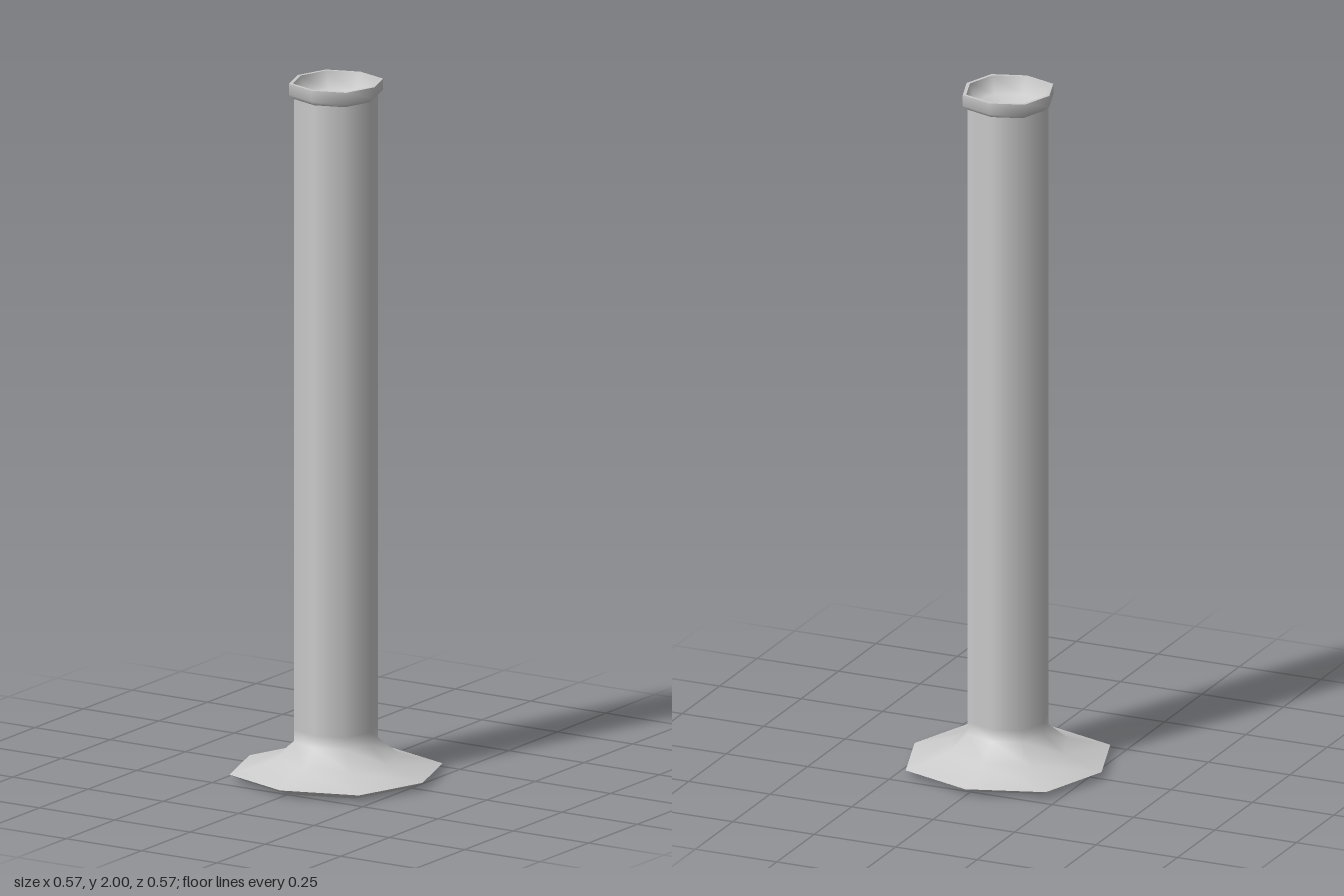
import * as THREE from 'three';

const material = new THREE.MeshStandardMaterial({ color: 0xcccccc });
const SIDES = 8;
const CORNER = 1.06; // diagonal corners sit slightly further out

// Eight-sided turned part from [radius, height] pairs, listed so faces point outward
function turned(name, profile) {
  const geometry = new THREE.LatheGeometry(profile.map(([r, y]) => new THREE.Vector2(r, y)), SIDES);
  const pos = geometry.attributes.position;
  for (let i = 0; i < pos.count; i++) {
    const side = Math.floor(i / profile.length);
    if (side % 2 === 1) {
      pos.setX(i, pos.getX(i) * CORNER);
      pos.setZ(i, pos.getZ(i) * CORNER);
    }
  }
  const mesh = new THREE.Mesh(geometry, material);
  mesh.name = name;
  return mesh;
}

export function createModel() {
  const group = new THREE.Group();
  group.name = 'pipe';

  group.add(
    // Flared foot
    turned('footUnderside', [[0, 0], [0.245, 0]]),
    turned('footEdge', [[0.245, 0], [0.287, 0.02]]),
    turned('footFlare', [[0.287, 0.02], [0.17, 0.055], [0.113, 0.105], [0.113, 0.14]]),
    // Long straight shaft
    turned('shaft', [[0.113, 0.14], [0.113, 1.96]]),
    // Collar at the top with a shallow recess
    turned('collarOutside', [[0.113, 1.955], [0.127, 1.968], [0.127, 2]]),
    turned('collarTop', [[0.127, 2], [0.117, 2]]),
    turned('recess', [[0.117, 2], [0.102, 1.95], [0, 1.945]])
  );
  return group;
}
